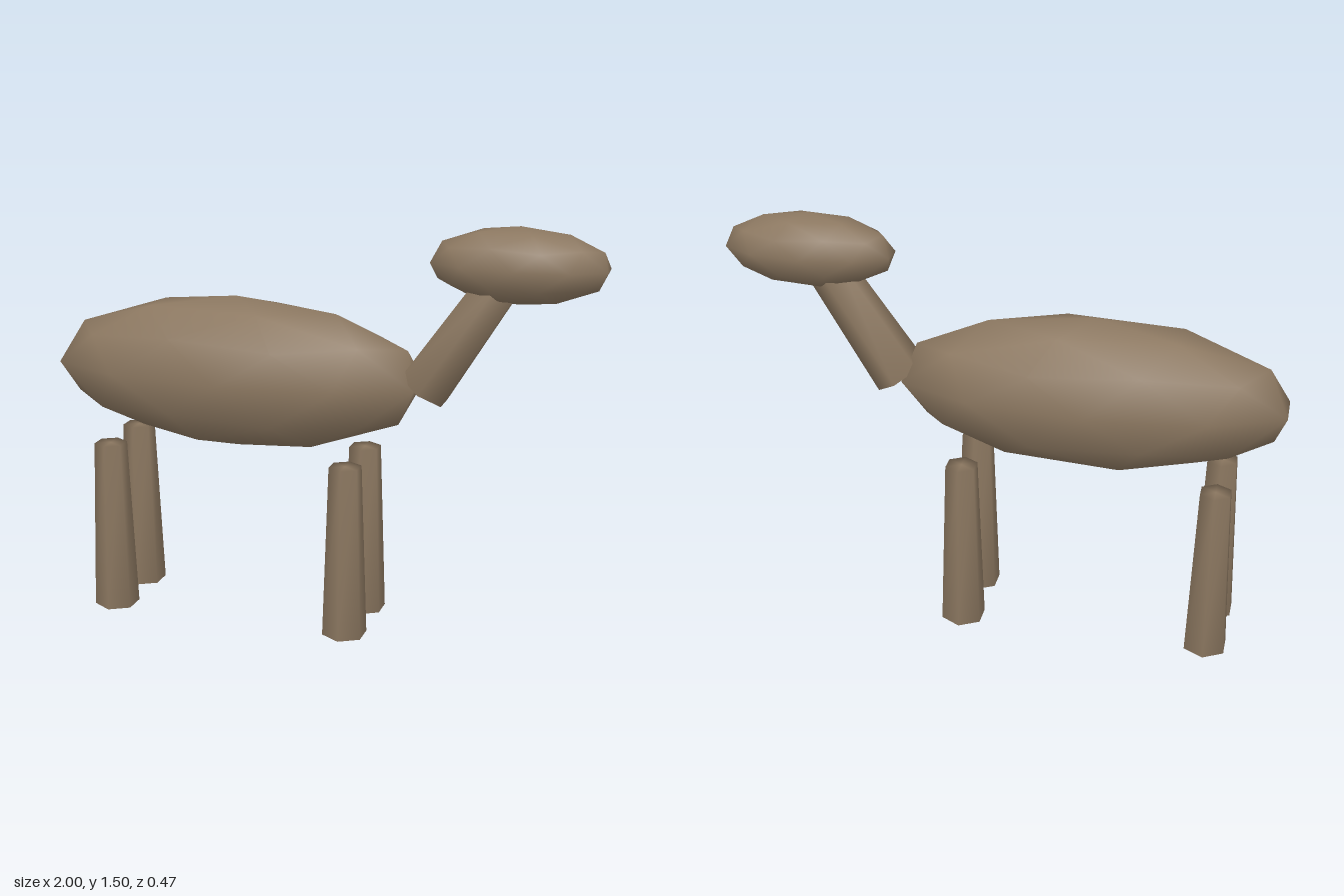
import * as THREE from 'three';
import { mergeVertices } from 'three/addons/utils/BufferGeometryUtils.js';

const brown = new THREE.MeshStandardMaterial({ color: 0x8b7760 });
brown.name = 'brown hide';

// Weld all corners so shading runs smoothly over every edge, caps included
function smooth(geometry) {
  geometry.deleteAttribute('uv');
  geometry.deleteAttribute('normal');
  const welded = mergeVertices(geometry, 1e-4);
  welded.computeVertexNormals();
  return welded;
}

function part(name, geometry) {
  const mesh = new THREE.Mesh(smooth(geometry), brown);
  mesh.name = name;
  return mesh;
}

// Low-poly ellipsoid: icosphere with a corner pointing straight up
function ellipsoid(name, rx, ry, rz, x, y) {
  const geometry = new THREE.IcosahedronGeometry(1, 1);
  geometry.rotateZ(-Math.atan(2 / (1 + Math.sqrt(5))));
  geometry.scale(rx, ry, rz);
  const mesh = part(name, geometry);
  mesh.position.set(x, y, 0);
  return mesh;
}

// Six-sided tapered limb between two points
function limb(name, from, to, rFrom, rTo) {
  const a = new THREE.Vector3(...from);
  const b = new THREE.Vector3(...to);
  const axis = b.clone().sub(a);
  const mesh = part(name, new THREE.CylinderGeometry(rTo, rFrom, axis.length(), 6));
  mesh.position.copy(a).add(b).multiplyScalar(0.5);
  mesh.quaternion.setFromUnitVectors(new THREE.Vector3(0, 1, 0), axis.normalize());
  return mesh;
}

export function createModel() {
  const model = new THREE.Group();
  model.name = 'animal';

  model.add(ellipsoid('body', 0.715, 0.28, 0.235, -0.32, 0.92));
  model.add(ellipsoid('head', 0.315, 0.133, 0.133, 0.7, 1.37));
  model.add(limb('neck', [0.38, 0.915, 0], [0.64, 1.31, 0], 0.1, 0.08));

  // Four legs, two at each end of the body
  for (const [end, x] of [['hind', -0.78], ['fore', 0.13]]) {
    for (const [side, z] of [['Near', 0.125], ['Far', -0.125]]) {
      model.add(limb(end + side + 'Leg', [x, 0, z], [x, 0.64, z], 0.083, 0.06));
    }
  }
  return model;
}
